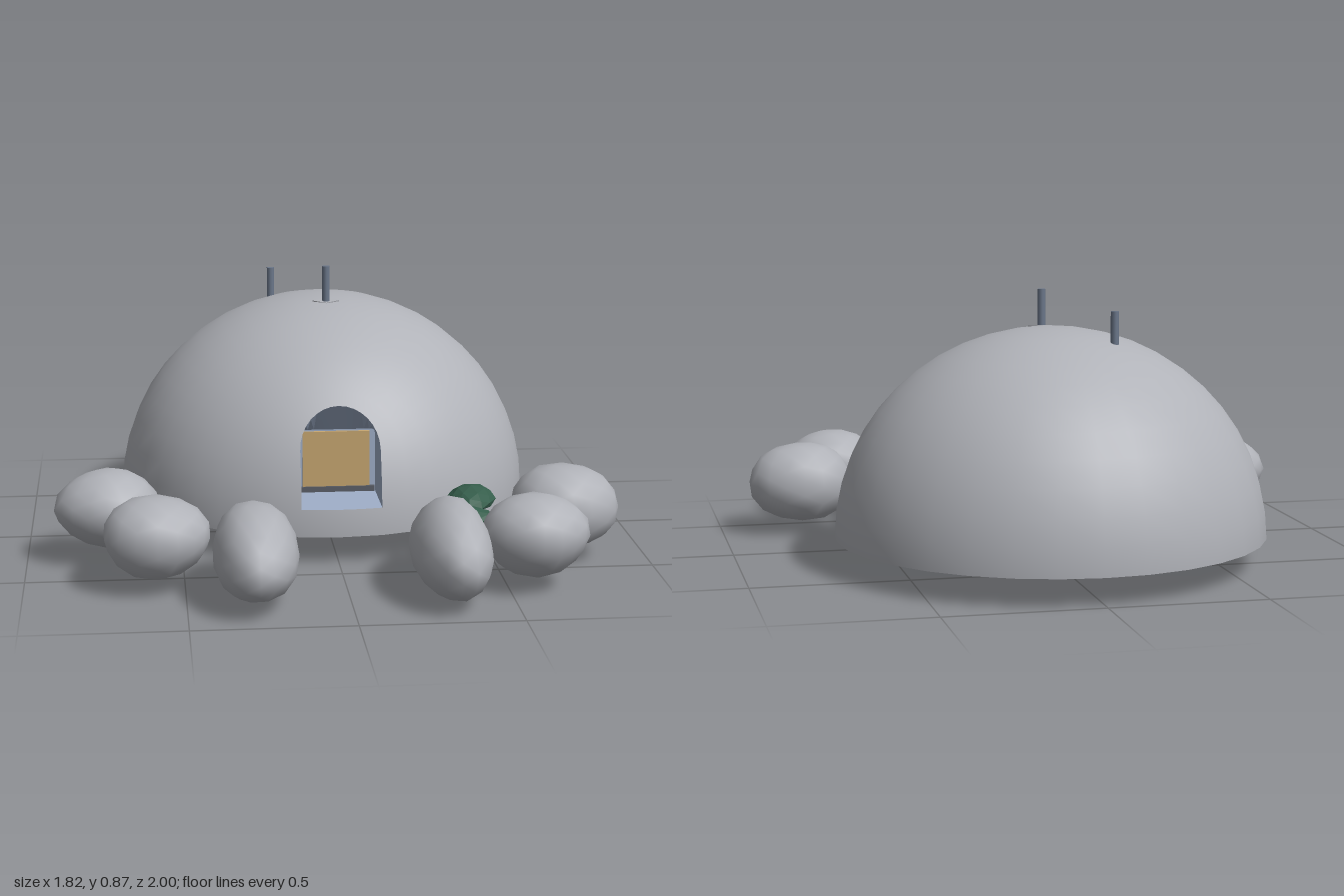
import * as THREE from 'three';
import { mergeVertices, toCreasedNormals } from 'three/addons/utils/BufferGeometryUtils.js';

const mat = (name, color, extra = {}) => {
  const m = new THREE.MeshStandardMaterial({ color, ...extra });
  m.name = name;
  return m;
};

// Dome ellipsoid: centre and radii
const C = new THREE.Vector3(0.005, 0.09, -0.3);
const R = new THREE.Vector3(0.695, 0.67, 0.7);
const domeZ = (x, y) =>
  C.z + R.z * Math.sqrt(Math.max(0, 1 - ((x - C.x) / R.x) ** 2 - ((y - C.y) / R.y) ** 2));

// Surface through closed loops of points, one loop per row
function loft(rows) {
  const n = rows[0].length, index = [];
  for (let i = 0; i < rows.length - 1; i++)
    for (let j = 0; j < n; j++) {
      const k = (j + 1) % n, a = i * n, d = a + n;
      index.push(a + j, d + j, d + k, a + j, d + k, a + k);
    }
  const g = new THREE.BufferGeometry().setFromPoints(rows.flat());
  g.setIndex(index);
  g.computeVertexNormals();
  return g;
}

// Doorway outline (counter-clockwise from lower left) and the matching dome outline
function outlines() {
  const arch = [], rim = [], cx = 0.01, w = 0.13, y0 = 0.18, y1 = 0.36;
  for (let j = 0; j < 16; j++) {
    arch.push([cx - w + (2 * w * j) / 16, y0]);
    rim.push([C.x - R.x * Math.cos((Math.PI * j) / 16), C.y]);
  }
  for (let j = 0; j < 24; j++) {
    const a = (Math.PI * j) / 24, b = (Math.PI * (j - 4)) / 16;
    if (j < 4) arch.push([cx + w, y0 + ((y1 - y0) * j) / 4]);
    else if (j <= 20) arch.push([cx + w * Math.cos(b), y1 + w * Math.sin(b)]);
    else arch.push([cx - w, y1 - ((y1 - y0) * (j - 20)) / 4]);
    rim.push([C.x + R.x * Math.cos(a), C.y + R.y * Math.sin(a)]);
  }
  return { arch, rim };
}

// Lumpy ellipsoid fitted to exact half-sizes
function lump(detail, size, seed, amount) {
  let g = new THREE.IcosahedronGeometry(1, detail);
  g.deleteAttribute('normal');
  g.deleteAttribute('uv');
  g = mergeVertices(g, 1e-4);
  const p = g.attributes.position, v = new THREE.Vector3();
  for (let i = 0; i < p.count; i++) {
    v.fromBufferAttribute(p, i);
    const s = Math.sin(v.x * 3.1 + seed) + Math.sin(v.y * 3.7 + seed * 2.3) + Math.sin(v.z * 3.3 + seed * 1.7);
    v.multiplyScalar(1 + amount * s);
    p.setXYZ(i, v.x, v.y, v.z);
  }
  g.center();
  const b = g.boundingBox;
  g.scale(size[0] / b.max.x, size[1] / b.max.y, size[2] / b.max.z);
  g.computeVertexNormals();
  return g;
}

export function createModel() {
  const model = new THREE.Group();
  const stone = mat('stone grey', 0xb0b2b8);
  const lining = mat('pale blue lining', 0xa0b0ca, { side: THREE.DoubleSide });
  const tan = mat('tan door', 0xc9a872);
  const steel = mat('steel', 0x6b778a);
  const dark = mat('dark sill', 0x5c6068);
  const green = mat('leaf green', 0x365e4c);
  const add = (name, geometry, material, x = 0, y = 0, z = 0) => {
    const m = new THREE.Mesh(geometry, material);
    m.name = name;
    m.position.set(x, y, z);
    model.add(m);
    return m;
  };

  // Front half of the dome, lofted from the doorway out to its outline
  const { arch, rim } = outlines();
  const rows = [], steps = 10;
  for (let i = 0; i <= steps; i++) {
    const t = Math.sin((i / steps) * Math.PI / 2);
    rows.push(arch.map(([x, y], j) => {
      const px = x + (rim[j][0] - x) * t, py = y + (rim[j][1] - y) * t;
      return new THREE.Vector3(px, py, domeZ(px, py));
    }));
  }
  const front = loft(rows), pos = front.attributes.position, v = new THREE.Vector3();
  for (let i = 0; i < pos.count; i++) {
    v.fromBufferAttribute(pos, i).sub(C).divide(R).divide(R).normalize();
    front.attributes.normal.setXYZ(i, v.x, v.y, v.z);
  }
  add('domeFront', front, stone);

  // Back half and underside of the dome
  const back = new THREE.SphereGeometry(1, 16, 12, Math.PI, Math.PI, 0, Math.PI / 2);
  add('domeBack', back.scale(R.x, R.y, R.z), stone, C.x, C.y, C.z);
  const base = new THREE.CircleGeometry(1, 32).rotateX(Math.PI / 2).scale(R.x, 1, R.z);
  add('domeUnderside', base, stone, C.x, C.y, C.z);

  // Entrance recess with a ceiling that drops toward the door
  const inner = arch.map(([x, y]) => new THREE.Vector3(x, Math.min(y, 0.39), 0.17));
  add('entranceLining', toCreasedNormals(loft([inner, rows[0]]), 0.7), lining);
  const wall = new THREE.ShapeGeometry(new THREE.Shape(inner.map(p => new THREE.Vector2(p.x, p.y))));
  add('entranceBackWall', wall, lining, 0, 0, 0.17);
  add('door', new THREE.BoxGeometry(0.22, 0.185, 0.01), tan, 0.01, 0.2925, 0.176);
  add('doorSill', new THREE.BoxGeometry(0.255, 0.018, 0.012), dark, 0.01, 0.19, 0.177);

  // Roof masts
  for (const [x, z, bottom, top] of [[0.01, -0.19, 0.72, 0.87], [-0.16, -0.47, 0.7, 0.82]])
    add('mast', new THREE.CylinderGeometry(0.013, 0.013, top - bottom, 10), steel, x, (top + bottom) / 2, z);
  const plate = add('mastPlate', new THREE.CylinderGeometry(0.045, 0.045, 0.008, 4), stone, 0.01, 0.748, -0.19);
  plate.scale.z = 0.6;
  plate.rotation.x = 0.14;

  // Boulders flanking the entrance: centre, half-sizes
  [
    [[-0.74, 0.175, 0.275], [0.17, 0.128, 0.155]],
    [[-0.585, 0.165, 0.595], [0.165, 0.127, 0.155]],
    [[-0.288, 0.153, 0.71], [0.13, 0.137, 0.285]],
    [[0.31, 0.148, 0.73], [0.124, 0.148, 0.27]],
    [[0.582, 0.17, 0.685], [0.165, 0.13, 0.155]],
    [[0.733, 0.172, 0.375], [0.172, 0.133, 0.155]],
  ].forEach(([c, s], i) => add('boulder', lump(2, s, i * 1.9 + 0.6, 0.03), stone, ...c));

  // Low shrub beside the boulders
  const leafy = (c, s, seed, turn) => {
    const g = lump(1, s, seed, 0.06).toNonIndexed();
    g.computeVertexNormals();
    add('shrub', g, green, ...c).rotation.y = turn;
  };
  leafy([0.425, 0.21, 0.39], [0.08, 0.04, 0.11], 1.2, -0.2);
  leafy([0.37, 0.175, 0.5], [0.13, 0.045, 0.085], 3.4, -0.25);

  return model;
}
